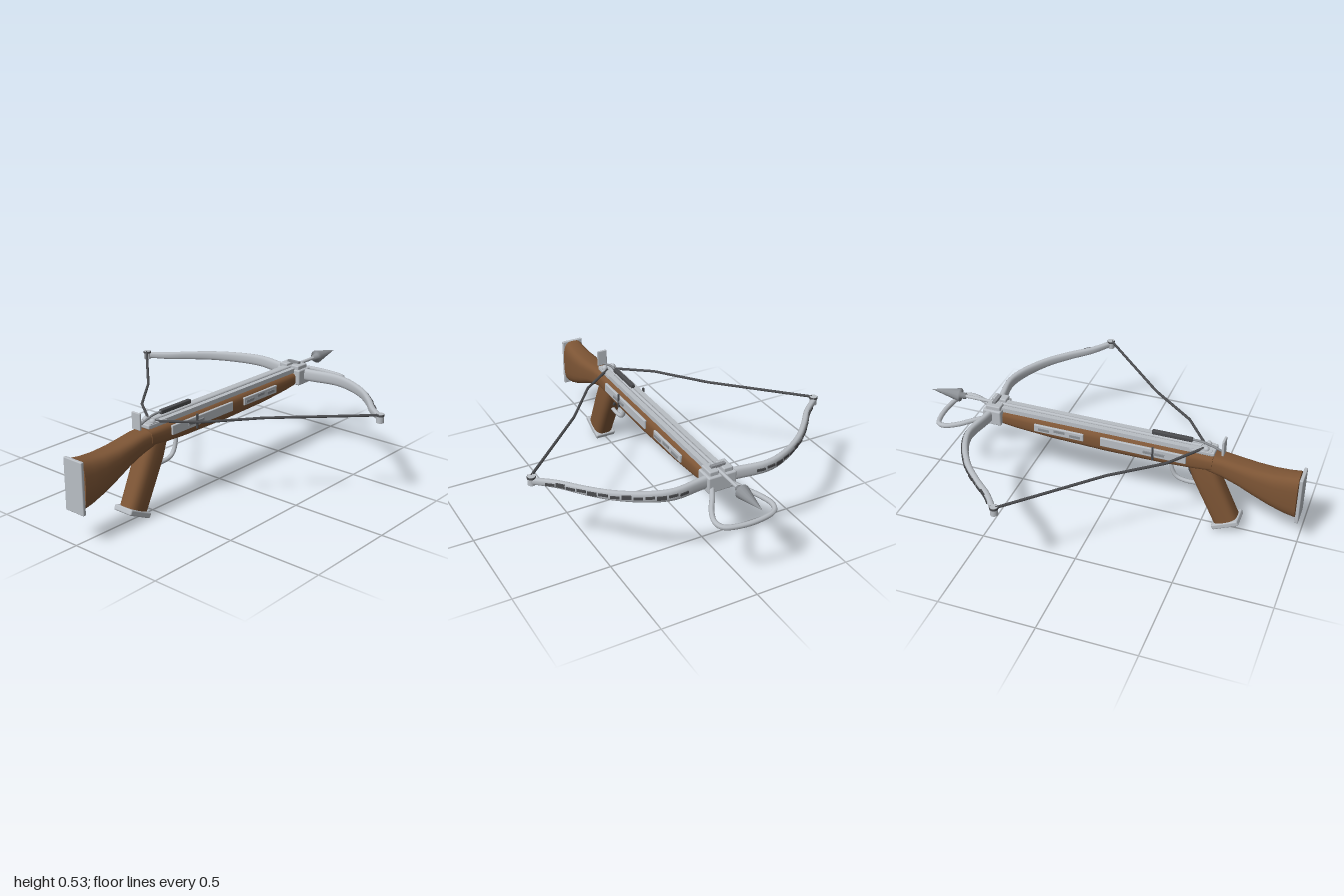
import * as THREE from 'three';
import { RoundedBoxGeometry } from 'three/addons/geometries/RoundedBoxGeometry.js';

const V3 = (x, y, z) => new THREE.Vector3(x, y, z);
const mat = (name, color, extra = {}) => {
  const m = new THREE.MeshStandardMaterial({ color, ...extra });
  m.name = name;
  return m;
};

// Skin superellipse rings { c: centre, u, v: axes, a, b: half sizes }, running along u x v.
function loft(rings, power = 2, sides = 28) {
  const pos = [], idx = [];
  const bend = (t) => Math.sign(t) * Math.abs(t) ** (2 / power);
  const addRing = (r) => {
    for (let j = 0; j < sides; j++) {
      const t = (j / sides) * Math.PI * 2;
      const p = r.c.clone().addScaledVector(r.u, r.a * bend(Math.cos(t)))
        .addScaledVector(r.v, r.b * bend(Math.sin(t)));
      pos.push(p.x, p.y, p.z);
    }
  };
  rings.forEach(addRing);
  for (let i = 0; i < rings.length - 1; i++) {
    for (let j = 0; j < sides; j++) {
      const k = (j + 1) % sides, a = i * sides, b = a + sides;
      idx.push(a + j, a + k, b + k, a + j, b + k, b + j);
    }
  }
  // Flat end caps
  [rings[0], rings[rings.length - 1]].forEach((r, end) => {
    const base = pos.length / 3;
    addRing(r);
    for (let j = 1; j < sides - 1; j++) {
      if (end) idx.push(base, base + j, base + j + 1);
      else idx.push(base, base + j + 1, base + j);
    }
  });
  const g = new THREE.BufferGeometry();
  g.setAttribute('position', new THREE.Float32BufferAttribute(pos, 3));
  g.setIndex(idx);
  g.computeVertexNormals();
  return g;
}

export function createModel() {
  const wood = mat('wood', 0x7d5535);
  const steel = mat('steel', 0xb9bec4);
  const grey = mat('greyMetal', 0x8c9095);
  const dark = mat('darkMetal', 0x4b4c4f);
  const model = new THREE.Group();
  model.name = 'crossbow';

  const add = (name, geo, m, x = 0, y = 0, z = 0, parent = model) => {
    const mesh = new THREE.Mesh(geo, m);
    mesh.name = name;
    mesh.position.set(x, y, z);
    parent.add(mesh);
    return mesh;
  };
  const box = (name, m, w, h, d, x, y, z, parent) =>
    add(name, new THREE.BoxGeometry(w, h, d), m, x, y, z, parent);
  const rounded = (name, m, w, h, d, r, x, y, z, parent) =>
    add(name, new RoundedBoxGeometry(w, h, d, 2, r), m, x, y, z, parent);
  const tube = (name, m, pts, r, seg = 40, tension = 0.5) =>
    add(name, new THREE.TubeGeometry(
      new THREE.CatmullRomCurve3(pts, false, 'catmullrom', tension), seg, r, 8), m);

  // Wooden stock: [z, bottom, top, half width]
  const X = V3(1, 0, 0), Y = V3(0, 1, 0);
  const section = ([z, lo, hi, a]) => ({ c: V3(0, (lo + hi) / 2, z), u: X, v: Y, a, b: (hi - lo) / 2 });
  add('foreStock', loft([
    [-0.64, 0.385, 0.45, 0.05], [-0.5, 0.367, 0.455, 0.056], [-0.3, 0.352, 0.457, 0.059],
    [0, 0.344, 0.458, 0.061], [0.3, 0.347, 0.457, 0.062], [0.45, 0.355, 0.455, 0.062],
    [0.55, 0.364, 0.452, 0.06],
  ].map(section), 3.2), wood);
  add('buttStock', loft([
    [0.5, 0.362, 0.45, 0.056], [0.6, 0.335, 0.445, 0.057], [0.68, 0.305, 0.433, 0.06],
    [0.76, 0.265, 0.423, 0.063], [0.85, 0.222, 0.419, 0.064], [0.92, 0.195, 0.423, 0.063],
    [0.978, 0.18, 0.432, 0.06],
  ].map(section), 3.2), wood);
  rounded('buttPlate', steel, 0.118, 0.262, 0.018, 0.005, 0, 0.301, 0.991);

  // Slanted pistol grip with its base plate
  const grip = new THREE.Group();
  grip.name = 'grip';
  grip.position.set(0, 0.045, 0.637);
  grip.rotation.x = -0.44;
  model.add(grip);
  const Z = V3(0, 0, -1);
  add('gripWood', loft([
    [0, 0.052, 0.066], [0.08, 0.054, 0.066], [0.2, 0.056, 0.067], [0.3, 0.056, 0.068], [0.38, 0.05, 0.062],
  ].map(([y, a, b]) => ({ c: V3(0, y, 0), u: X, v: Z, a, b })), 3), wood, 0, 0, 0, grip);
  rounded('gripBase', steel, 0.115, 0.03, 0.147, 0.008, 0, 0.004, 0, grip);

  // Trigger and guard
  tube('triggerGuard', steel, [
    V3(0, 0.243, 0.49), V3(0, 0.238, 0.42), V3(0, 0.25, 0.365), V3(0, 0.285, 0.337), V3(0, 0.36, 0.32),
  ], 0.011);
  tube('trigger', dark, [V3(0, 0.36, 0.42), V3(0, 0.31, 0.43), V3(0, 0.275, 0.455)], 0.009, 12);

  // Rail with a groove for the bolt
  box('railBed', grey, 0.07, 0.01, 1.15, 0, 0.459, -0.035);
  for (const s of [-1, 1]) {
    box('railStrip', steel, 0.026, 0.024, 1.15, s * 0.027, 0.464, -0.035);

    // Side plates with their fittings
    rounded('rearSidePlate', steel, 0.014, 0.05, 0.45, 0.004, s * 0.062, 0.416, 0.195);
    rounded('frontSidePlate', steel, 0.014, 0.042, 0.27, 0.004, s * 0.06, 0.414, -0.255);
    box('latchBar', grey, 0.008, 0.012, 0.11, s * 0.072, 0.416, 0.255);
    add('latchPin', new THREE.CylinderGeometry(0.006, 0.006, 0.075, 10), dark, s * 0.073, 0.418, 0.25);
    for (let i = 0; i < 3; i++) {
      box('plateSlot', grey, 0.006, 0.014, 0.06, s * 0.067, i === 1 ? 0.42 : 0.412, -0.165 - i * 0.085);
    }
    add('stringCatch', new THREE.SphereGeometry(0.015, 14, 10), steel, s * 0.024, 0.478, 0.51);
  }

  // Lock, spring clip and rear sight
  rounded('lockHousing', steel, 0.085, 0.022, 0.13, 0.006, 0, 0.463, 0.49);
  tube('springArm', grey, [
    V3(0, 0.468, 0.58), V3(0, 0.485, 0.53), V3(0, 0.498, 0.48), V3(0, 0.5, 0.42),
  ], 0.006, 20);
  rounded('springClip', dark, 0.022, 0.022, 0.21, 0.005, 0, 0.498, 0.328);
  rounded('rearSight', steel, 0.054, 0.085, 0.012, 0.003, 0, 0.498, 0.592);

  // Front block that clamps the bow
  rounded('bowClamp', steel, 0.15, 0.085, 0.1, 0.008, 0, 0.427, -0.622);
  for (const s of [-1, 1]) rounded('clampJaw', steel, 0.05, 0.03, 0.08, 0.006, s * 0.038, 0.476, -0.618);
  box('clampBridge', grey, 0.075, 0.014, 0.018, 0, 0.495, -0.622);

  // Bow: one curve from tip to tip
  const half = [[0.1, -0.64], [0.25, -0.66], [0.36, -0.63], [0.5, -0.548], [0.6, -0.455], [0.69, -0.355], [0.785, -0.28]];
  const bowCurve = new THREE.CatmullRomCurve3([
    ...half.map(([x, z]) => V3(-x, 0, z)).reverse(), V3(0, 0, -0.63), ...half.map(([x, z]) => V3(x, 0, z)),
  ]);
  const bowRing = (t) => {
    const c = bowCurve.getPointAt(t), d = bowCurve.getTangentAt(t);
    const k = Math.min(1, Math.abs(c.x) / 0.785);
    const lo = 0.4 + 0.04 * k ** 1.6, hi = 0.466 + 0.006 * k;
    c.y = (lo + hi) / 2;
    return { c, u: V3(d.z, 0, -d.x), v: Y, a: 0.019 - 0.005 * k, b: (hi - lo) / 2 };
  };
  add('bow', loft(Array.from({ length: 61 }, (_, i) => bowRing(i / 60)), 2.6, 20), steel);

  // Dark inlays along the front of the bow
  for (let i = 0; i < 13; i++) {
    for (const t of [0.05 + i * 0.028, 0.95 - i * 0.028]) {
      const r = bowRing(t);
      const p = r.c.clone().addScaledVector(r.u, r.a);
      const inlay = box('bowInlay', dark, 0.044, i % 3 === 1 ? 0.02 : 0.013, 0.008, p.x, p.y + (i % 2) * 0.004, p.z);
      inlay.rotation.y = Math.atan2(-r.u.x, -r.u.z);
    }
  }

  // Bow tips and the drawn string
  for (const s of [-1, 1]) {
    add('bowTip', new THREE.CylinderGeometry(0.019, 0.019, 0.045, 16), steel, s * 0.782, 0.457, -0.278);
    const pts = [[0.78, -0.27], [0.385, 0.12], [0.195, 0.36], [0.015, 0.495]].map(([x, z]) => V3(s * x, 0.474, z));
    const path = new THREE.CurvePath();
    for (let i = 0; i < 3; i++) path.add(new THREE.LineCurve3(pts[i], pts[i + 1]));
    add('bowString', new THREE.TubeGeometry(path, 60, 0.007, 8), dark);
    add('stringLoop', new THREE.CylinderGeometry(0.021, 0.021, 0.01, 16), dark, s * 0.782, 0.473, -0.278);
  }

  // Foot stirrup
  const side = [[0.045, 0.408, -0.65], [0.085, 0.396, -0.72], [0.13, 0.383, -0.79], [0.152, 0.373, -0.86], [0.12, 0.366, -0.908]];
  tube('stirrup', steel, [
    ...side.map(([x, y, z]) => V3(-x, y, z)), V3(0, 0.363, -0.926), ...side.map(([x, y, z]) => V3(x, y, z)).reverse(),
  ], 0.013, 80);

  // Bolt: shaft and pointed head
  add('boltShaft', new THREE.CylinderGeometry(0.009, 0.009, 1.28, 12), steel, 0, 0.474, -0.16).rotation.x = -Math.PI / 2;
  const head = [[0, 0], [0.016, 0], [0.018, 0.03], [0.036, 0.032], [0, 0.2]].map(([r, y]) => new THREE.Vector2(r, y));
  add('boltHead', new THREE.LatheGeometry(head, 12), grey, 0, 0.474, -0.8).rotation.x = -Math.PI / 2;

  return model;
}
